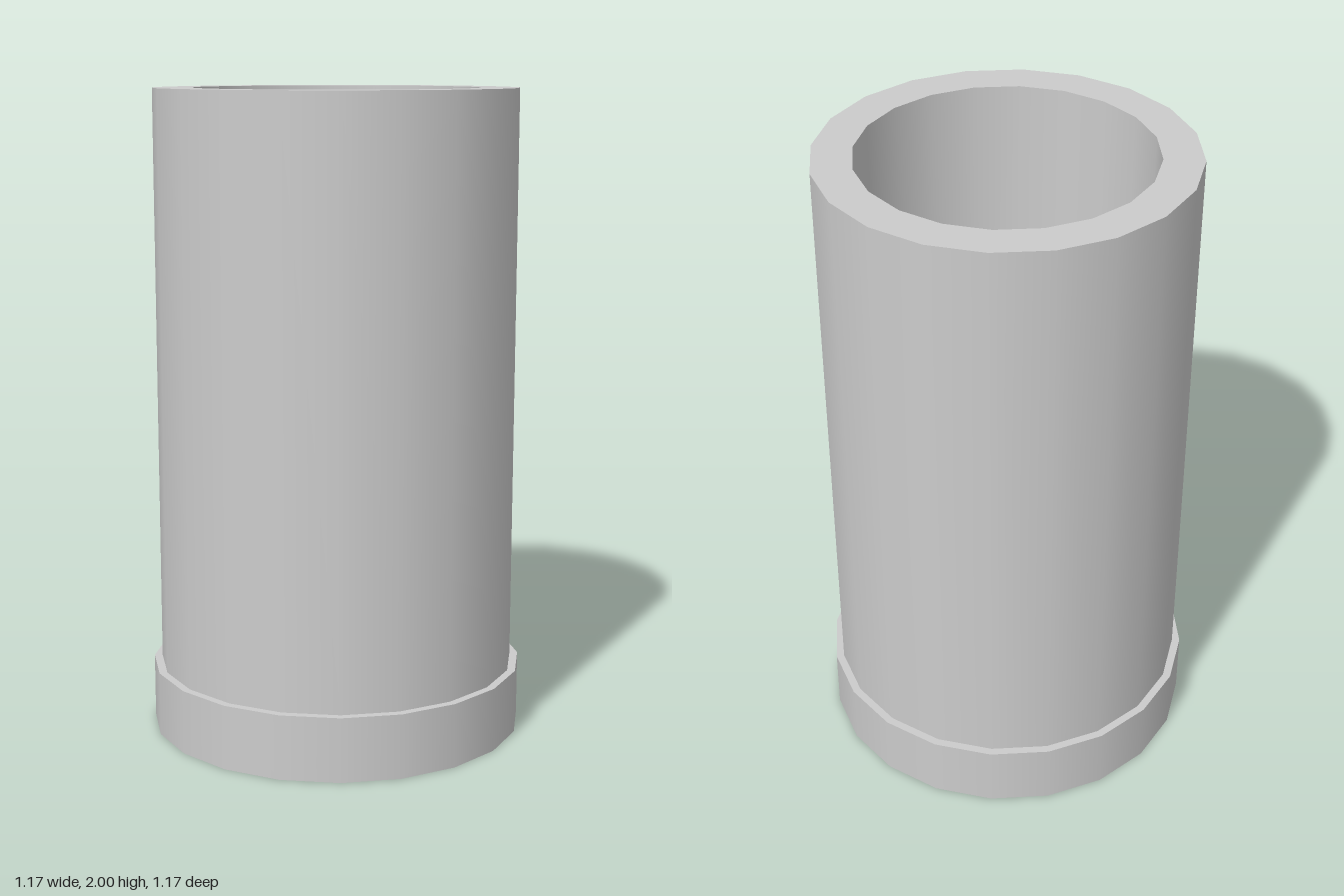
import * as THREE from 'three';

const SIDES = 20;
const TUBE_R = 0.56, BORE_R = 0.44, COLLAR_R = 0.585, LEDGE_R = 0.515;
const COLLAR_H = 0.2, TOP = 2;

export function createModel() {
  const model = new THREE.Group();
  const material = new THREE.MeshStandardMaterial({ color: 0xcccccc, side: THREE.DoubleSide });

  // One band of revolution between two [radius, height] points; separate bands keep the rims sharp
  const band = (parent, name, from, to) => {
    const profile = [new THREE.Vector2(...from), new THREE.Vector2(...to)];
    const mesh = new THREE.Mesh(new THREE.LatheGeometry(profile, SIDES), material);
    mesh.name = name;
    parent.add(mesh);
  };

  // Hollow tube, open at the lower end
  const tube = new THREE.Group();
  tube.name = 'tube';
  band(tube, 'outerWall', [TUBE_R, COLLAR_H], [TUBE_R, TOP]);
  band(tube, 'topRim', [TUBE_R, TOP], [BORE_R, TOP]);
  band(tube, 'boreWall', [BORE_R, TOP], [BORE_R, COLLAR_H]);

  // Thin skirt around the foot, with a ledge that carries the tube
  const collar = new THREE.Group();
  collar.name = 'collar';
  band(collar, 'collarWall', [COLLAR_R, 0], [COLLAR_R, COLLAR_H]);
  band(collar, 'collarLedge', [COLLAR_R, COLLAR_H], [LEDGE_R, COLLAR_H]);

  model.add(tube, collar);
  return model;
}
